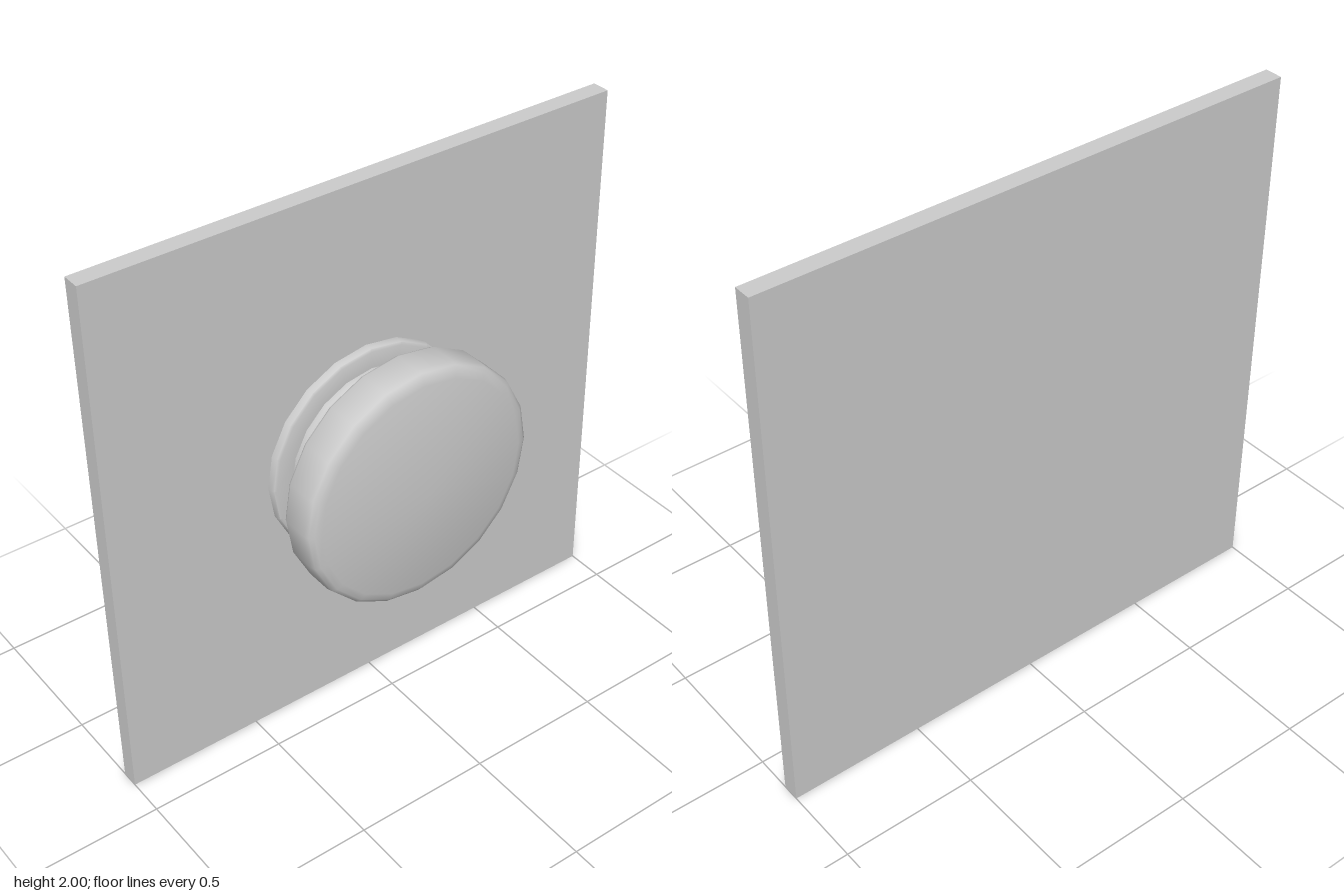
import * as THREE from 'three';
import { toCreasedNormals } from 'three/addons/utils/BufferGeometryUtils.js';

const SIDES = 20;

export function createModel() {
  const group = new THREE.Group();
  const material = new THREE.MeshStandardMaterial({ color: 0xcccccc });

  const add = (name, geometry) => {
    const mesh = new THREE.Mesh(geometry, material);
    mesh.name = name;
    group.add(mesh);
  };

  // Turned part about the x axis; profile points are [x, radius]
  const turned = (name, profile) => {
    const points = profile.map(([x, r]) => new THREE.Vector2(r, x));
    const geometry = new THREE.LatheGeometry(points, SIDES);
    geometry.rotateZ(-Math.PI / 2).translate(0, 1, 0);
    add(name, toCreasedNormals(geometry, 0.75));
  };

  // Square door panel
  add('panel', new THREE.BoxGeometry(0.065, 2, 2).translate(-0.172, 1, 0));

  // Stepped collar against the panel
  turned('collar', [
    [-0.14, 0.4], [-0.122, 0.4], [-0.113, 0.396], [-0.109, 0.387], [-0.109, 0.325],
    [-0.092, 0.325], [-0.084, 0.321], [-0.081, 0.313], [-0.081, 0.26],
  ]);

  // Straight neck
  turned('neck', [[-0.085, 0.265], [0.025, 0.265]]);

  // Rounded head with a shallow conical face
  turned('head', [
    [0.02, 0], [0.02, 0.435], [0.024, 0.445], [0.034, 0.45], [0.13, 0.45],
    [0.15, 0.445], [0.162, 0.43], [0.168, 0.405], [0.205, 0],
  ]);

  return group;
}
